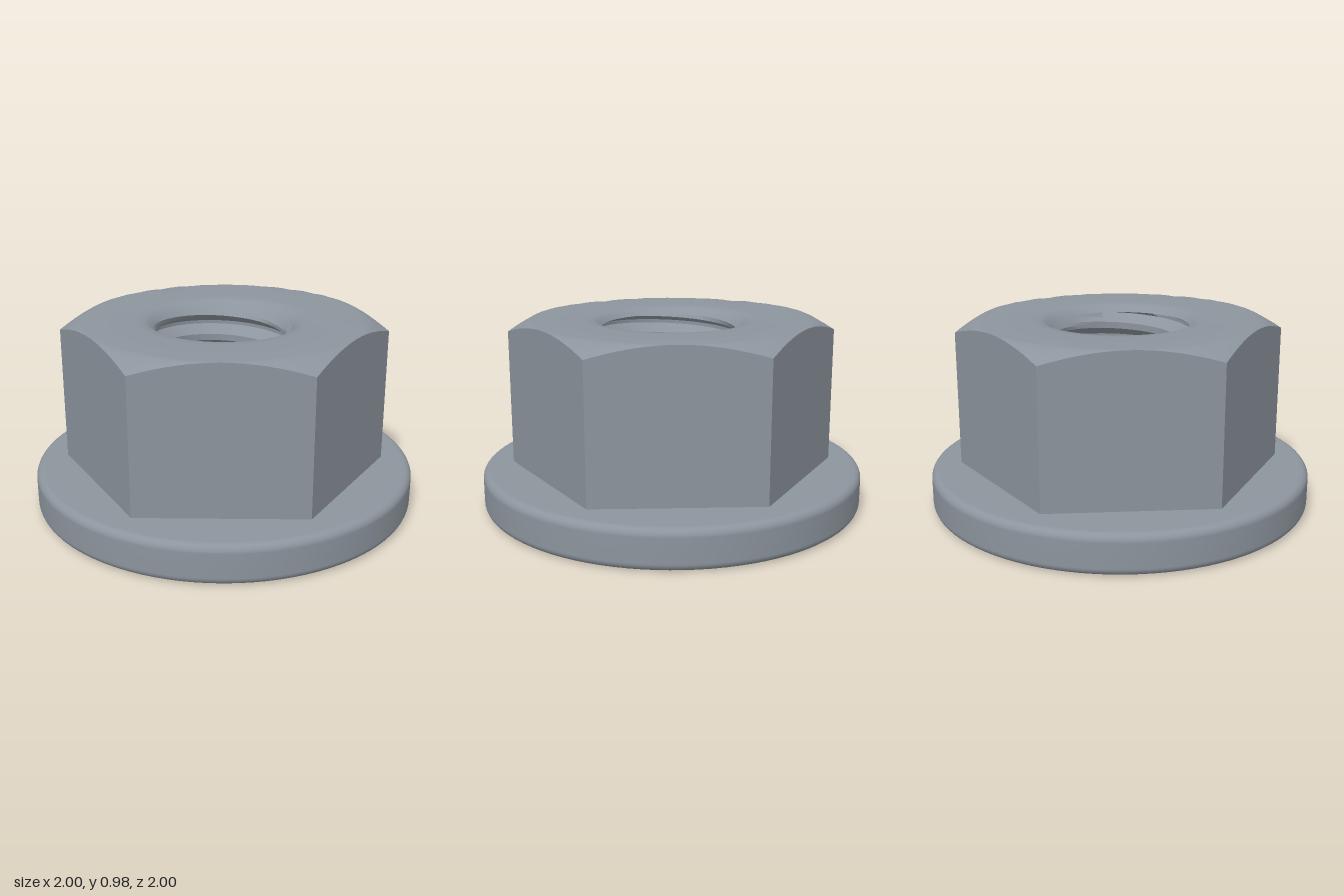
import * as THREE from 'three';
import { toCreasedNormals } from 'three/addons/utils/BufferGeometryUtils.js';

const TAU = Math.PI * 2;
const SEG = 96;                          // segments around the axis
const TOP = 0.975, FLANGE = 0.205;
const APOTHEM = 0.736, TURN = 12.2 * Math.PI / 180;
const PITCH = 0.14, MINOR = 0.32, MAJOR = 0.385;
const BORE_TOP = 0.935;                  // where the bore meets the rounded top rim

// Surface over a ring of angles and a list of rows; point(angle, row) gives [radius, y]
function ringSurface(rows, point, crease) {
  const pos = [], index = [];
  rows.forEach((row) => {
    for (let i = 0; i <= SEG; i++) {
      const a = (i / SEG) * TAU;
      const [r, y] = point(a, row);
      pos.push(r * Math.cos(a + TURN), y, r * Math.sin(a + TURN));
    }
  });
  for (let j = 0; j < rows.length - 1; j++) {
    for (let i = 0; i < SEG; i++) {
      const a = j * (SEG + 1) + i, b = a + 1, c = a + SEG + 1, d = c + 1;
      index.push(a, b, c, b, d, c);
    }
  }
  const g = new THREE.BufferGeometry();
  g.setAttribute('position', new THREE.Float32BufferAttribute(pos, 3));
  g.setIndex(index);
  return toCreasedNormals(g, crease);
}

// Hexagon outline radius, and the 30 degree conical chamfer of its corners
const hexRadius = (a) => APOTHEM / Math.cos((a % (TAU / 6)) - TAU / 12);
const chamferY = (r) => TOP - Math.max(0, r - APOTHEM) * 0.577;

// Thread radius by position within one pitch: crest, flank, root, flank
function threadRadius(f) {
  if (f < 0.25) return MINOR;
  if (f < 0.56) return MINOR + (MAJOR - MINOR) * (f - 0.25) / 0.31;
  if (f < 0.69) return MAJOR;
  return MAJOR - (MAJOR - MINOR) * (f - 0.69) / 0.31;
}

export function createModel() {
  const group = new THREE.Group();
  const steel = new THREE.MeshStandardMaterial({ color: 0x8c949d });
  steel.name = 'steel grey';
  const add = (name, geometry) => {
    const mesh = new THREE.Mesh(geometry, steel);
    mesh.name = name;
    group.add(mesh);
  };

  // Round flange with softened rims
  const fillet = 0.04;
  const profile = [[0.4, 0], [0.9, 0], [0.95, 0]];
  for (const [cy, start] of [[fillet, -Math.PI / 2], [FLANGE - fillet, 0]]) {
    for (let i = 0; i <= 6; i++) {
      const t = start + (i / 6) * Math.PI / 2;
      profile.push([1 - fillet + fillet * Math.cos(t), cy + fillet * Math.sin(t)]);
    }
  }
  profile.push([0.95, FLANGE], [0.9, FLANGE], [0.6, FLANGE]);
  add('flange', new THREE.LatheGeometry(profile.map((p) => new THREE.Vector2(...p)), SEG));

  // Six flat wrench faces with arched upper edges
  add('hexSides', ringSurface([1, 0], (a, v) => {
    const r = hexRadius(a);
    return [r, v ? chamferY(r) : FLANGE - 0.01];
  }, 0.5));

  // Top face: rounded bore rim, flat ring, then cone out to the hexagon
  const rings = [[0.36, BORE_TOP], [0.385, 0.96], [0.41, 0.971], [0.46, TOP], [0.6, TOP], [0.7, TOP]];
  add('topFace', ringSurface([...rings, 0.35, 0.7, 1], (a, row) => {
    if (Array.isArray(row)) return row;
    const r = 0.7 + (hexRadius(a) - 0.7) * row;
    return [r, chamferY(r)];
  }, 1));

  // Threaded bore: rows follow a right-hand helix and are trimmed by the end countersinks
  const rows = [];
  for (let k = 0; k <= 8; k++) {
    for (const f of [0, 0.125, 0.25, 0.4, 0.56, 0.69, 0.85]) rows.push([k, f]);
  }
  add('threadedBore', ringSurface(rows, (a, [k, f]) => {
    const raw = (k + f - a / TAU) * PITCH;
    const y = Math.min(BORE_TOP, Math.max(0, raw));
    if (raw >= BORE_TOP) return [0.36, y];
    const countersink = Math.max(0.4 - y, 0.36 - (BORE_TOP - y));
    return [Math.max(threadRadius(f), countersink), y];
  }, 0.5));

  return group;
}
